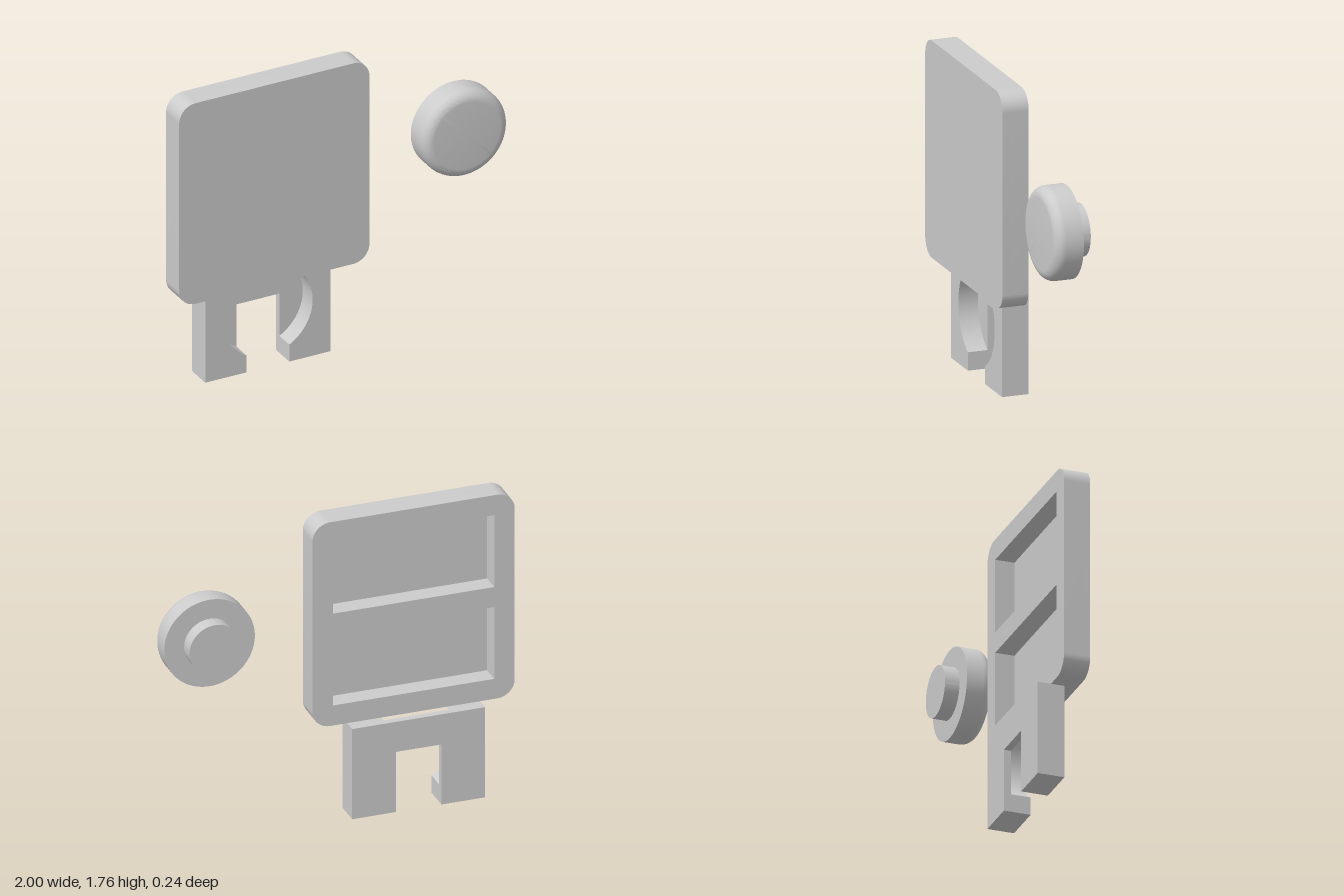
import * as THREE from 'three';
import { toCreasedNormals } from 'three/addons/utils/BufferGeometryUtils.js';

const material = new THREE.MeshStandardMaterial({ color: 0xcccccc });

function addMesh(parent, name, geometry) {
  const mesh = new THREE.Mesh(toCreasedNormals(geometry, 0.5), material);
  mesh.name = name;
  parent.add(mesh);
  return mesh;
}

// Extrude a front-facing outline between two depths
function slab(shape, z0, z1) {
  const g = new THREE.ExtrudeGeometry(shape, { depth: z1 - z0, bevelEnabled: false, curveSegments: 24 });
  return g.translate(0, 0, z0);
}

function polygon(points) {
  return new THREE.Shape(points.map(([x, y]) => new THREE.Vector2(x, y)));
}

function roundedRect(x0, y0, x1, y1, r) {
  const s = new THREE.Shape();
  s.absarc(x1 - r, y0 + r, r, -Math.PI / 2, 0);
  s.absarc(x1 - r, y1 - r, r, 0, Math.PI / 2);
  s.absarc(x0 + r, y1 - r, r, Math.PI / 2, Math.PI);
  s.absarc(x0 + r, y0 + r, r, Math.PI, Math.PI * 1.5);
  s.closePath();
  return s;
}

// Rounded plate, hollowed at the back by two pockets
function createPlate() {
  const group = new THREE.Group();
  group.name = 'plate';
  const outline = () => roundedRect(-1, 0.54, 0.155, 1.76, 0.1);
  addMesh(group, 'plateFace', slab(outline(), 0.066, 0.106));
  const frame = outline();
  for (const y of [0.66, 1.21]) {
    frame.holes.push(polygon([[-0.883, y], [-0.883, y + 0.43], [0.038, y + 0.43], [0.038, y]]));
  }
  addMesh(group, 'plateFrame', slab(frame, -0.044, 0.066));
  return group;
}

// Slotted bracket with a round recess open to the front and top
function createBracket() {
  const group = new THREE.Group();
  group.name = 'bracket';
  const W = 0.38, H = 0.54, slot = 0.13, slotTop = 0.36, r = 0.272, cy = 0.342;
  addMesh(group, 'bracketBack', slab(polygon([
    [-W, 0], [-slot, 0], [-slot, slotTop], [slot, slotTop], [slot, 0], [W, 0], [W, H], [-W, H],
  ]), -0.12, -0.08));
  const low = -Math.acos(slot / r), high = Math.asin((H - cy) / r);
  for (const side of [-1, 1]) {
    const cheek = new THREE.Shape();
    cheek.moveTo(side * W, 0);
    cheek.lineTo(side * slot, 0);
    if (side > 0) cheek.absarc(0, cy, r, low, high, false);
    else cheek.absarc(0, cy, r, Math.PI - low, Math.PI - high, true);
    cheek.lineTo(side * W, H);
    cheek.closePath();
    addMesh(group, side > 0 ? 'leftCheek' : 'rightCheek', slab(cheek, -0.08, 0.033));
  }
  group.position.x = -0.423;
  return group;
}

// Turned knob with a stem behind and a rounded front rim
function createKnob(parent) {
  const R = 0.259, stem = 0.145, fillet = 0.06, front = 0.12, back = -0.037;
  const profile = [[0, -0.12], [stem, -0.12], [stem, back], [R, back]];
  for (let i = 0; i <= 10; i++) {
    const a = (i / 10) * Math.PI / 2;
    profile.push([R - fillet + fillet * Math.cos(a), front - fillet + fillet * Math.sin(a)]);
  }
  profile.push([0, front]);
  const g = new THREE.LatheGeometry(profile.map(([x, y]) => new THREE.Vector2(x, y)), 96);
  g.rotateX(Math.PI / 2);
  addMesh(parent, 'knob', g).position.set(0.741, 1.153, 0);
}

export function createModel() {
  const model = new THREE.Group();
  model.name = 'plateBracketAndKnob';
  model.add(createPlate(), createBracket());
  createKnob(model);
  return model;
}
